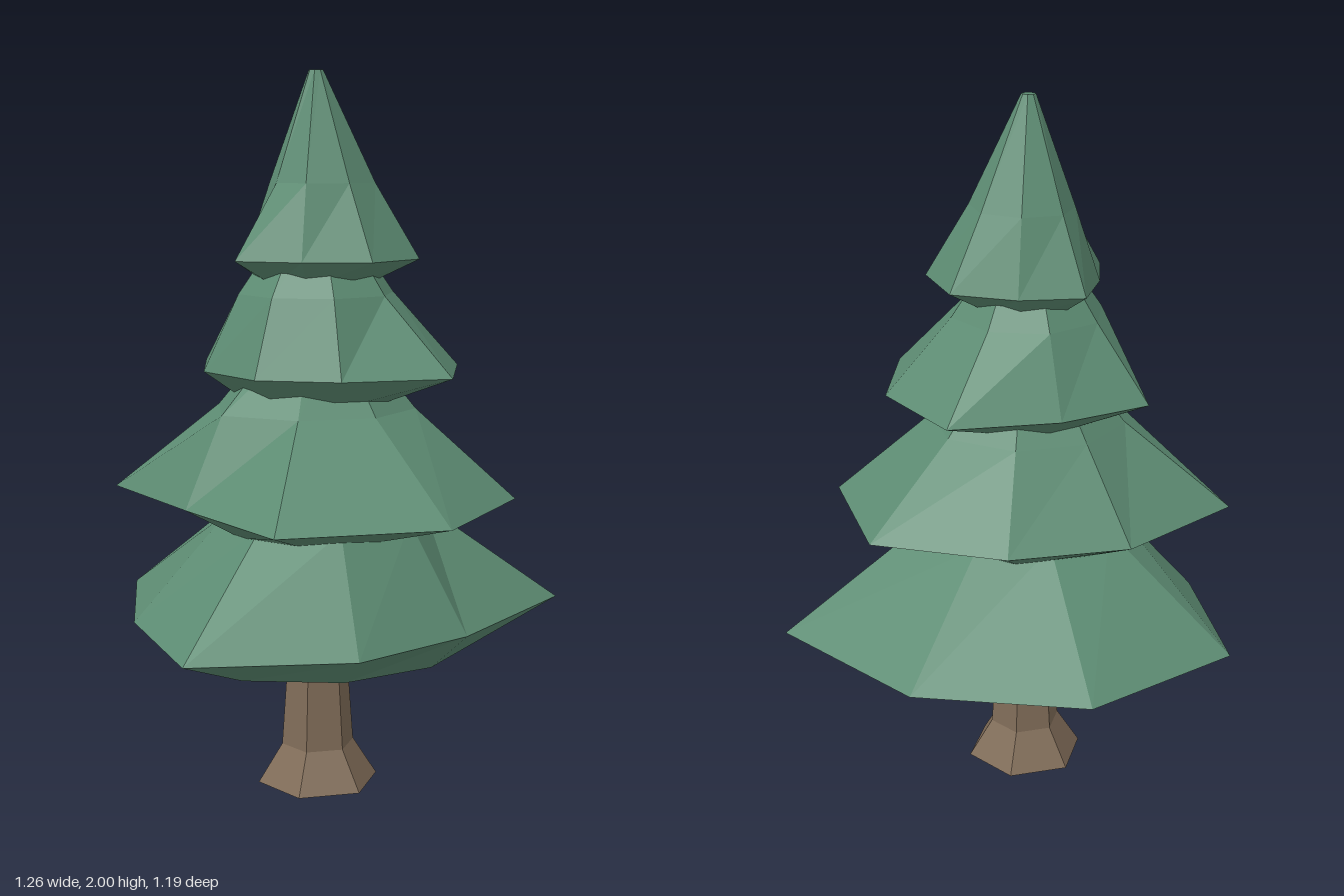
import * as THREE from 'three';

const foliage = new THREE.MeshStandardMaterial({ color: 0x5d8c73, flatShading: true });
foliage.name = 'pine green';
const bark = new THREE.MeshStandardMaterial({ color: 0x806c58, flatShading: true });
bark.name = 'bark brown';

// Closed faceted solid from stacked rings: [y, radius or list of radii].
// Angles run from +x toward +z.
function ringSolid(rings, sides, offset) {
  const pos = [];
  const point = (ring, i) => {
    const k = i % sides;
    const r = Array.isArray(ring[1]) ? ring[1][k] : ring[1];
    const a = offset + (k / sides) * Math.PI * 2;
    return [r * Math.cos(a), ring[0], r * Math.sin(a)];
  };
  const low = rings[0], high = rings[rings.length - 1];
  for (let i = 0; i < sides; i++) {
    for (let j = 0; j < rings.length - 1; j++) {
      const a = point(rings[j], i), b = point(rings[j], i + 1);
      const c = point(rings[j + 1], i), d = point(rings[j + 1], i + 1);
      pos.push(...a, ...c, ...b, ...b, ...c, ...d);
    }
    pos.push(0, low[0], 0, ...point(low, i), ...point(low, i + 1));
    pos.push(0, high[0], 0, ...point(high, i + 1), ...point(high, i));
  }
  const geometry = new THREE.BufferGeometry();
  geometry.setAttribute('position', new THREE.Float32BufferAttribute(pos, 3));
  geometry.computeVertexNormals();
  return geometry;
}

export function createModel() {
  const tree = new THREE.Group();
  tree.name = 'pineTree';

  const add = (name, rings, sides, offset, material) => {
    const mesh = new THREE.Mesh(ringSolid(rings, sides, offset), material);
    mesh.name = name;
    mesh.position.set(-0.092, 0, 0.042);
    tree.add(mesh);
  };

  // Hexagonal trunk with a flared foot
  add('trunk', [[0, 0.173], [0.11, 0.104], [0.45, 0.08]], 6, 0, bark);

  // Foliage tiers: underside, uneven rim, shoulder, top
  const half = Math.PI / 8;
  add('bottomTier', [
    [0.39, [0.28, 0.37, 0.34, 0.37, 0.28, 0.37, 0.34, 0.37]],
    [0.495, [0.717, 0.48, 0.505, 0.63, 0.52, 0.655, 0.64, 0.638]],
    [0.79, [0.31, 0.3, 0.3, 0.28, 0.26, 0.27, 0.25, 0.28]],
    [1.0, 0.12],
  ], 8, 0, foliage);

  add('lowerMiddleTier', [
    [0.74, 0.25],
    [0.84, [0.555, 0.598, 0.595, 0.426, 0.585, 0.456, 0.436, 0.544]],
    [1.085, [0.277, 0.275, 0.275, 0.31, 0.28, 0.265, 0.265, 0.277]],
    [1.3, 0.1],
  ], 8, half, foliage);

  add('upperMiddleTier', [
    [1.1, 0.19],
    [1.19, [0.407, 0.428, 0.306, 0.302, 0.316, 0.38, 0.333, 0.434]],
    [1.4, 0.218],
    [1.6, 0.08],
  ], 8, 0, foliage);

  add('topTier', [
    [1.425, 0.14],
    [1.495, [0.285, 0.259, 0.217, 0.264, 0.2, 0.25, 0.22, 0.266]],
    [1.7, [0.163, 0.155, 0.15, 0.13, 0.13, 0.15, 0.15, 0.16]],
    [2.0, 0.02],
  ], 8, half, foliage);

  return tree;
}
